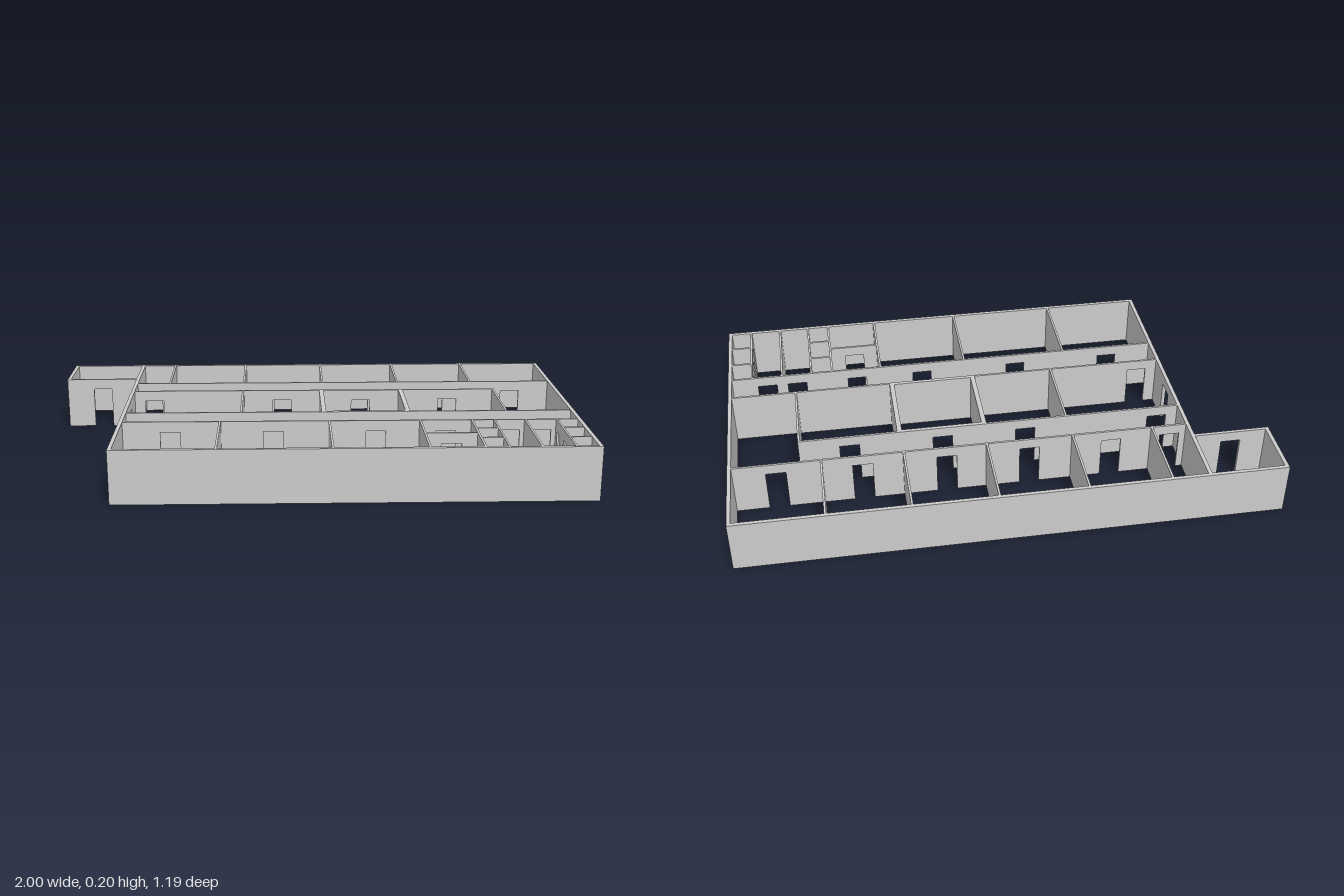
import * as THREE from 'three';

const HEIGHT = 0.2, DOOR_HEIGHT = 0.16, DOOR = 0.074, STALL_DOOR = 0.045;
const OUTER = 0.014, INNER = 0.008;

export function createModel() {
  const model = new THREE.Group();
  model.name = 'floorPlan';
  const material = new THREE.MeshStandardMaterial({ color: 0xcccccc, flatShading: true });

  // One straight wall; doors are notches cut upward from the floor, given by their centres.
  function wall(name, axis, at, from, to, thickness, doors = [], doorWidth = DOOR) {
    const outline = [[from, 0]];
    for (const c of doors) {
      const a = c - doorWidth / 2, b = c + doorWidth / 2;
      outline.push([a, 0], [a, DOOR_HEIGHT], [b, DOOR_HEIGHT], [b, 0]);
    }
    outline.push([to, 0], [to, HEIGHT], [from, HEIGHT]);
    const shape = new THREE.Shape(outline.map(([u, v]) => new THREE.Vector2(u, v)));
    const geometry = new THREE.ExtrudeGeometry(shape, { depth: thickness, bevelEnabled: false });
    geometry.translate(0, 0, -thickness / 2);
    if (axis === 'z') geometry.rotateY(-Math.PI / 2);
    geometry.translate(axis === 'z' ? at : 0, 0, axis === 'x' ? at : 0);
    const mesh = new THREE.Mesh(geometry, material);
    mesh.name = name;
    model.add(mesh);
  }
  // Walls running along x (at a fixed z) and along z (at a fixed x)
  const alongX = (name, z, x0, x1, t, doors, w) => wall(name, 'x', z, x0, x1, t, doors, w);
  const alongZ = (name, x, z0, z1, t, doors, w) => wall(name, 'z', x, z0, z1, t, doors, w);

  // Outer shell with the entrance in its right side
  alongX('backWall', -0.588, -1, 1, OUTER);
  alongX('frontWall', 0.588, -0.715, 1, OUTER);
  alongZ('leftWall', 0.993, -0.581, 0.581, OUTER);
  alongZ('rightWall', -0.708, -0.581, 0.581, OUTER, [-0.015]);

  // Annex
  alongZ('annexSideWall', -0.993, -0.581, -0.355, OUTER);
  alongX('annexFrontWall', -0.361, -0.986, -0.715, 0.012, [-0.855]);

  // Back row of rooms
  alongX('backCorridorWall', -0.288, -0.701, 0.986, INNER, [-0.64, -0.415, -0.105, 0.205, 0.515, 0.83]);
  for (const x of [-0.57, -0.267, 0.055, 0.363, 0.664]) {
    alongZ('backRoomPartition', x, -0.581, -0.292, INNER);
  }

  // Middle row of rooms
  alongX('middleBackWall', -0.169, -0.701, 0.744, INNER, [-0.622, -0.11, 0.205, 0.555]);
  alongX('middleFrontWall', 0.141, -0.701, 0.986, INNER, [-0.622]);
  for (const x of [-0.267, 0.74]) alongZ('middlePartition', x, -0.165, 0.137, INNER);

  // Court with thicker walls
  for (const x of [0.047, 0.366]) alongZ('courtSideWall', x, -0.165, 0.137, 0.018);
  alongX('courtBackLining', -0.162, 0.056, 0.357, 0.006, [0.205]);
  alongX('courtFrontLining', 0.134, 0.056, 0.357, 0.006);

  // Front row of rooms
  alongX('frontCorridorWall', 0.26, -0.701, 0.986, INNER, [-0.525, -0.145, 0.235, 0.495, 0.733, 0.85]);
  for (const x of [-0.342, 0.063, 0.4, 0.592, 0.79]) {
    alongZ('frontRoomPartition', x, 0.264, 0.581, INNER);
  }
  alongX('storeDivider', 0.42, 0.404, 0.588, INNER, [0.495]);

  // Two rows of three stalls
  for (const [doorWall, x0, x1] of [[0.675, 0.596, 0.672], [0.908, 0.911, 0.986]]) {
    alongZ('stallDoorWall', doorWall, 0.264, 0.581, 0.007, [0.312, 0.42, 0.528], STALL_DOOR);
    for (const z of [0.363, 0.477]) alongX('stallDivider', z, x0, x1, INNER);
  }
  return model;
}
